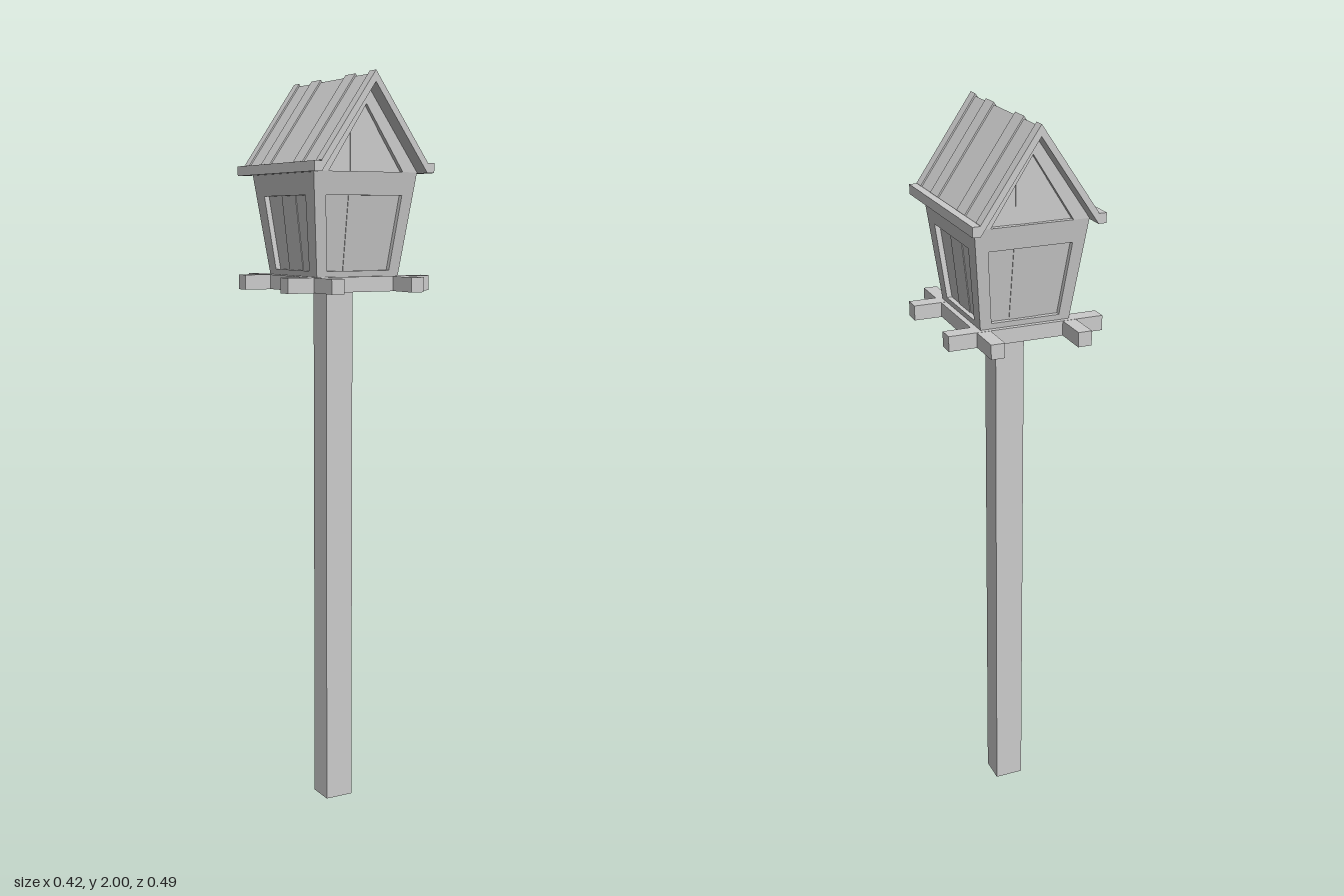
import * as THREE from 'three';

const BASE = 1.48, EAVE = 1.75, APEX = 1.975;
const material = new THREE.MeshStandardMaterial({ color: 0xcccccc, flatShading: true });

function add(parent, name, geometry) {
  const mesh = new THREE.Mesh(geometry, material);
  mesh.name = name;
  parent.add(mesh);
  return mesh;
}

function box(parent, name, x0, x1, y0, y1, z0, z1) {
  const mesh = add(parent, name, new THREE.BoxGeometry(x1 - x0, y1 - y0, z1 - z0));
  mesh.position.set((x0 + x1) / 2, (y0 + y1) / 2, (z0 + z1) / 2);
}

const outline = (points) => points.map(([x, y]) => new THREE.Vector2(x, y));

// Flat slab whose outer face leans outward from the base up to the eaves.
function leaningSlab(points, holes, thickness, inset, near, far) {
  const shape = new THREE.Shape(outline(points));
  holes.forEach((h) => shape.holes.push(new THREE.Path(outline(h))));
  const geometry = new THREE.ExtrudeGeometry(shape, { depth: thickness, bevelEnabled: false });
  const p = geometry.attributes.position;
  for (let i = 0; i < p.count; i++) {
    const t = (Math.min(p.getY(i), EAVE) - BASE) / (EAVE - BASE);
    p.setZ(i, p.getZ(i) - thickness - inset + near + (far - near) * t);
  }
  geometry.computeVertexNormals();
  return geometry;
}

// One wall: frame with a window recess, closed by three upright planks.
function buildWall(name, w, d, win, gable) {
  const wall = new THREE.Group();
  wall.name = name;
  const frame = [[-w[0], BASE], [w[0], BASE], [w[1], EAVE]];
  if (gable) frame.push([0, APEX]);
  frame.push([-w[1], EAVE]);
  const holes = [[[-win[0], 1.495], [win[0], 1.495], [win[1], 1.69], [-win[1], 1.69]]];
  if (gable) holes.push([[-0.11, EAVE], [0.11, EAVE], [0, 1.92]]);
  add(wall, 'wallFrame', leaningSlab(frame, holes, 0.016, 0, d[0], d[1]));

  const e0 = w[0] - 0.008, e1 = w[1] - 0.008, s = 0.04;
  const planks = [
    [[-e0, BASE], [-s, BASE], [-s, EAVE], [-e1, EAVE]],
    [[-s, BASE], [s, BASE], [s, EAVE], [-s, EAVE]],
    [[s, BASE], [e0, BASE], [e1, EAVE], [s, EAVE]],
  ];
  if (gable) {
    const ys = APEX - (s / w[1]) * (APEX - EAVE);
    planks.push([[-w[1], EAVE], [-s, EAVE], [-s, ys]],
      [[-s, EAVE], [s, EAVE], [s, ys], [0, APEX], [-s, ys]],
      [[s, EAVE], [w[1], EAVE], [s, ys]]);
  }
  planks.forEach((pts, i) => add(wall, 'wallPlank',
    leaningSlab(pts, [], 0.012, i % 3 === 1 ? 0.012 : 0.014, d[0], d[1])));
  return wall;
}

export function createModel() {
  const model = new THREE.Group();
  model.name = 'birdhouseOnPost';

  box(model, 'post', -0.04, 0.04, 0, 1.445, -0.037, 0.037);

  // Platform with four crossing beams
  const platform = new THREE.Group();
  platform.name = 'platform';
  model.add(platform);
  box(platform, 'floor', -0.136, 0.136, 1.442, 1.479, -0.149, 0.149);
  for (const s of [-1, 1]) {
    box(platform, 'crossBeam', -0.212, 0.212, 1.44, BASE, s * 0.1285 - 0.0215, s * 0.1285 + 0.0215);
    box(platform, 'longBeam', s * 0.118 - 0.0185, s * 0.118 + 0.0185, 1.4405, 1.4795, -0.245, 0.245);
  }

  // Flared walls
  const house = new THREE.Group();
  house.name = 'house';
  model.add(house);
  const hw = [0.122, 0.153], hd = [0.137, 0.18];
  for (let i = 0; i < 4; i++) {
    const end = i % 2 === 0;
    const wall = end
      ? buildWall('gableWall', hw, hd, [0.093, 0.113], true)
      : buildWall('sideWall', hd, hw, [0.098, 0.121], false);
    wall.rotation.y = (i * Math.PI) / 2;
    house.add(wall);
  }

  // Roof of folded planks with slightly uneven heights
  const roof = new THREE.Group();
  roof.name = 'roof';
  model.add(roof);
  const seams = [-0.228, -0.197, -0.123, -0.068, 0.068, 0.122, 0.195, 0.228];
  for (let i = 0; i < seams.length - 1; i++) {
    const y = i % 2 ? -0.007 : 0;
    const shape = new THREE.Shape(outline([
      [0, 2 + y], [-0.155, 1.775 + y], [-0.155, 1.747], [0, 1.971], [0.155, 1.747], [0.155, 1.775 + y],
    ]));
    const plank = add(roof, 'roofPlank', new THREE.ExtrudeGeometry(shape,
      { depth: seams[i + 1] - seams[i], bevelEnabled: false }));
    plank.position.z = seams[i];
  }
  for (const s of [-1, 1]) {
    box(roof, 'eaveStrip', s * 0.165 - 0.011, s * 0.165 + 0.011, 1.747, 1.773, -0.228, 0.228);
  }
  return model;
}
